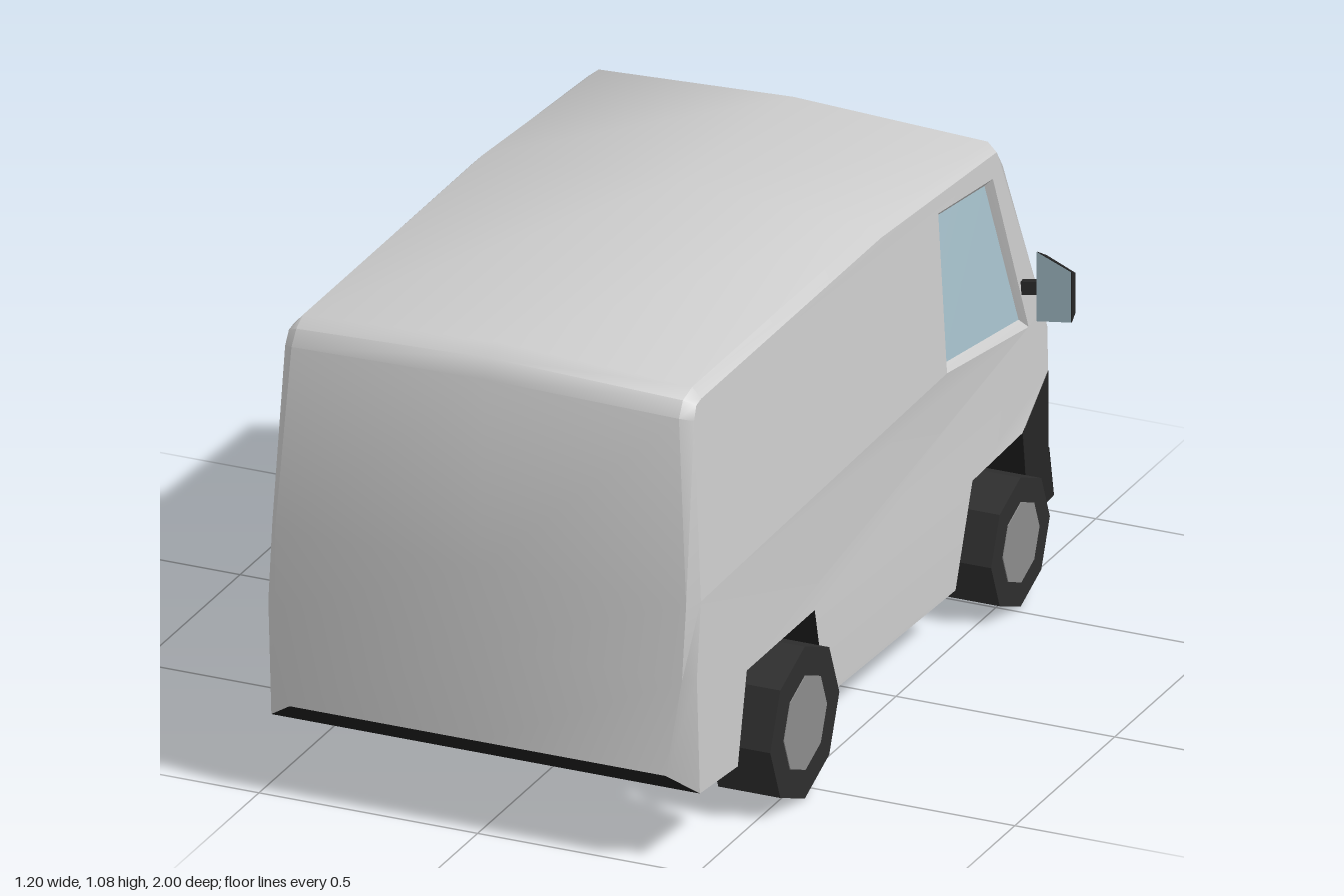
import * as THREE from 'three';
import { toCreasedNormals } from 'three/addons/utils/BufferGeometryUtils.js';
import { ConvexGeometry } from 'three/addons/geometries/ConvexGeometry.js';

const mat = (color, flatShading = false) =>
  new THREE.MeshStandardMaterial({ color, flatShading, side: THREE.DoubleSide });
const paint = mat(0xcccccc);
const glass = mat(0xa9c4cf);
const black = mat(0x262626, true);
const under = mat(0x1c1c1c, true);
const rubber = mat(0x2e2e2e, true);
const hubGrey = mat(0x8c8c8c, true);
const lampFrame = mat(0x9a9a9a, true);
const lampLens = mat(0xd4d4d4, true);

function part(name, geometry, material) {
  const mesh = new THREE.Mesh(geometry, material);
  mesh.name = name;
  return mesh;
}

// Surface through rows of points; rows that start at x = 0 are mirrored to the full width
function loft(rows, mirror = true) {
  const full = rows.map((r) => mirror
    ? [...r.slice(1).reverse().map(([x, y, z]) => [-x, y, z]), ...r] : r);
  const n = full[0].length;
  const index = [];
  for (let j = 0; j < full.length - 1; j++) {
    for (let i = 0; i < n - 1; i++) {
      const a = j * n + i;
      index.push(a, a + 1, a + n + 1, a, a + n + 1, a + n);
    }
  }
  const g = new THREE.BufferGeometry();
  g.setAttribute('position', new THREE.Float32BufferAttribute(full.flat(2), 3));
  g.setIndex(index);
  return toCreasedNormals(g, 0.76);
}

// Width of the body side: leans in above the waist and towards the nose
const sideX = (y, z) => 0.49 - 0.056 * Math.max(0, y - 0.6) - 0.1 * Math.max(0, -0.6 - z);
const onSide = ([z, y], push = 0) => [sideX(y, z) + push, y, z];

// Flat outline of (z, y) points laid onto the body side
function sidePanel(points, push = 0) {
  const g = new THREE.ShapeGeometry(
    new THREE.Shape(points.map(([z, y]) => new THREE.Vector2(-z, y))));
  const p = g.attributes.position;
  for (let i = 0; i < p.count; i++) {
    const z = -p.getX(i), y = p.getY(i);
    p.setXYZ(i, sideX(y, z) + push, y, z);
  }
  g.computeVertexNormals();
  return g;
}

function wheel(name, z, r) {
  const g = new THREE.Group();
  g.name = name;
  const tyre = part('tyre', new THREE.CylinderGeometry(r, r, 0.142, 8), rubber);
  const hub = part('hub', new THREE.CylinderGeometry(r * 0.62, r * 0.62, 0.146, 8), hubGrey);
  tyre.rotation.z = hub.rotation.z = -Math.PI / 2;
  g.add(tyre, hub);
  g.position.set(0.474, r, z);
  return g;
}

// Nose rows, top to bottom: centre, inner corner, outer corner
const nose = [
  [[0, 1.038, -0.58], [0.445, 1.018, -0.58], onSide([-0.575, 1.0])],
  [[0, 1.0, -0.63], [0.425, 0.975, -0.608], onSide([-0.6, 0.96])],
  [[0, 0.53, -0.93], [0.4, 0.5, -0.868], onSide([-0.83, 0.5])],
  [[0, 0.37, -1.0], [0.29, 0.37, -0.983], onSide([-0.835, 0.4])],
  [[0, 0.22, -1.0], [0.29, 0.22, -0.983], onSide([-0.835, 0.22])],
];

// Headlight patch: inset quad on the nose corner, pushed outwards
function lamp(u0, u1, v0, v1, push) {
  const [a, b] = [nose[3].slice(1), nose[4].slice(1)].map((r) => r.map((p) => new THREE.Vector3(...p)));
  const at = (u, v) => a[0].clone().lerp(a[1], u)
    .lerp(b[0].clone().lerp(b[1], u), v)
    .add(new THREE.Vector3(0.65, 0, -0.76).multiplyScalar(push)).toArray();
  return loft([[at(u0, v0), at(u1, v0)], [at(u0, v1), at(u1, v1)]], false);
}

function buildSide() {
  const side = new THREE.Group();

  // Side walls, split at the waist around the window
  side.add(part('upperSide', sidePanel([[0.955, 0.6], [-0.28, 0.62], [-0.28, 0.98], [-0.55, 0.95],
    [-0.71, 0.55], [-0.805, 0.55], [-0.6, 0.96], [-0.575, 1.0], [0, 1.037], [0.9, 1.035],
    [0.925, 1.03], [0.94, 1.0]]), paint));
  side.add(part('lowerSide', sidePanel([[0.96, 0.165], [0.77, 0.15], [0.725, 0.35], [0.385, 0.35],
    [0.33, 0.13], [-0.32, 0.11], [-0.405, 0.325], [-0.67, 0.325], [-0.835, 0.4], [-0.83, 0.5],
    [-0.805, 0.55], [-0.71, 0.55], [-0.28, 0.62], [0.955, 0.6], [0.975, 0.43]]), paint));

  // Recessed side window
  const outer = [[-0.28, 0.62], [-0.71, 0.55], [-0.55, 0.95], [-0.28, 0.98]];
  const inner = [[-0.297, 0.632], [-0.69, 0.572], [-0.541, 0.935], [-0.297, 0.963]];
  const ring = (pts, push) => [...pts, pts[0]].map((p) => onSide(p, push));
  side.add(part('windowFrame', loft([ring(outer, 0), ring(inner, -0.016)], false), paint));
  side.add(part('sideWindow', sidePanel(inner, -0.016), glass));

  // Windscreen pillar
  side.add(part('pillar', loft([nose[1].slice(1), nose[2].slice(1)], false), paint));

  // Bumper end reaching back to the wheel arch
  side.add(part('bumperEnd', sidePanel([[-0.67, 0.325], [-0.835, 0.4], [-0.835, 0.22],
    [-0.87, 0.1], [-0.71, 0.11]], 0.001), black));

  // Headlight
  side.add(part('headlightFrame', lamp(0.03, 0.95, 0.03, 0.92, 0.002), lampFrame));
  side.add(part('headlightLens', lamp(0.13, 0.84, 0.17, 0.8, 0.005), lampLens));

  // Door mirror with its glass facing the rear
  const face = [[0.508, 0.577, -0.69], [0.6, 0.602, -0.662], [0.6, 0.717, -0.662], [0.508, 0.735, -0.69]];
  const back = [[0.52, 0.6, -0.712], [0.598, 0.615, -0.685], [0.598, 0.705, -0.685], [0.52, 0.72, -0.712]];
  side.add(part('mirrorHousing', new ConvexGeometry(
    [...face, ...back].map((p) => new THREE.Vector3(...p))), black));
  const lift = face.map(([x, y, z]) => [x - 0.001, y, z + 0.002]);
  side.add(part('mirrorGlass', loft([[lift[0], lift[1]], [lift[3], lift[2]]], false), glass));
  const arm = part('mirrorArm', new THREE.BoxGeometry(0.06, 0.03, 0.015), black);
  arm.position.set(0.498, 0.65, -0.696);
  arm.rotation.y = 0.4;
  side.add(arm);

  side.add(wheel('rearWheel', 0.555, 0.173), wheel('frontWheel', -0.525, 0.147));
  return side;
}

export function createModel() {
  const van = new THREE.Group();
  van.name = 'van';

  // Rear face and roof: centre, inner edge, chamfer edge, from rear sill to windscreen
  van.add(part('rearAndRoof', loft([
    [[0, 0.21, 1.0], [0.43, 0.21, 1.0], [0.49, 0.165, 0.96]],
    [[0, 0.43, 0.998], [0.465, 0.43, 0.995], [0.49, 0.43, 0.975]],
    [[0, 0.6, 0.988], [0.47, 0.6, 0.985], [0.49, 0.6, 0.955]],
    [[0, 1.02, 0.966], [0.443, 1.01, 0.962], onSide([0.94, 1.0])],
    [[0, 1.06, 0.945], [0.442, 1.043, 0.94], onSide([0.925, 1.03])],
    [[0, 1.078, 0.9], [0.445, 1.058, 0.9], onSide([0.9, 1.035])],
    [[0, 1.078, 0], [0.445, 1.058, 0], onSide([0, 1.037])],
    nose[0],
  ]), paint));

  // Nose
  van.add(part('windscreenHeader', loft([nose[0], nose[1]]), paint));
  van.add(part('windscreen', loft([nose[1].slice(0, 2), nose[2].slice(0, 2)]), glass));
  van.add(part('hood', loft(nose.slice(2)), paint));

  // Front bumper
  van.add(part('bumper', loft([
    [[0, 0.222, -0.995], [0.28, 0.222, -0.978], [0.46, 0.222, -0.83]],
    [[0, 0.222, -1.0], [0.295, 0.222, -0.985], onSide([-0.837, 0.222], 0.002)],
    [[0, 0.14, -0.99], [0.3, 0.14, -0.975], onSide([-0.87, 0.1], 0.001)],
  ]), black));

  // Underside following both wheel arches, front to back: half width, y, z
  van.add(part('underside', loft([[0.3, 0.14, -0.975], [0.463, 0.1, -0.87], [0.479, 0.11, -0.71],
    [0.483, 0.325, -0.67], [0.49, 0.325, -0.405], [0.49, 0.11, -0.32], [0.49, 0.13, 0.33],
    [0.49, 0.35, 0.385], [0.49, 0.35, 0.725], [0.49, 0.15, 0.77], [0.49, 0.165, 0.96],
    [0.43, 0.21, 1.0]].map(([x, y, z], i) => [[0, y, i ? z : -0.99], [x, y, z]])), under));

  // Both flanks
  const left = buildSide();
  left.name = 'leftSide';
  const right = buildSide();
  right.name = 'rightSide';
  right.scale.x = -1;
  van.add(left, right);
  return van;
}
